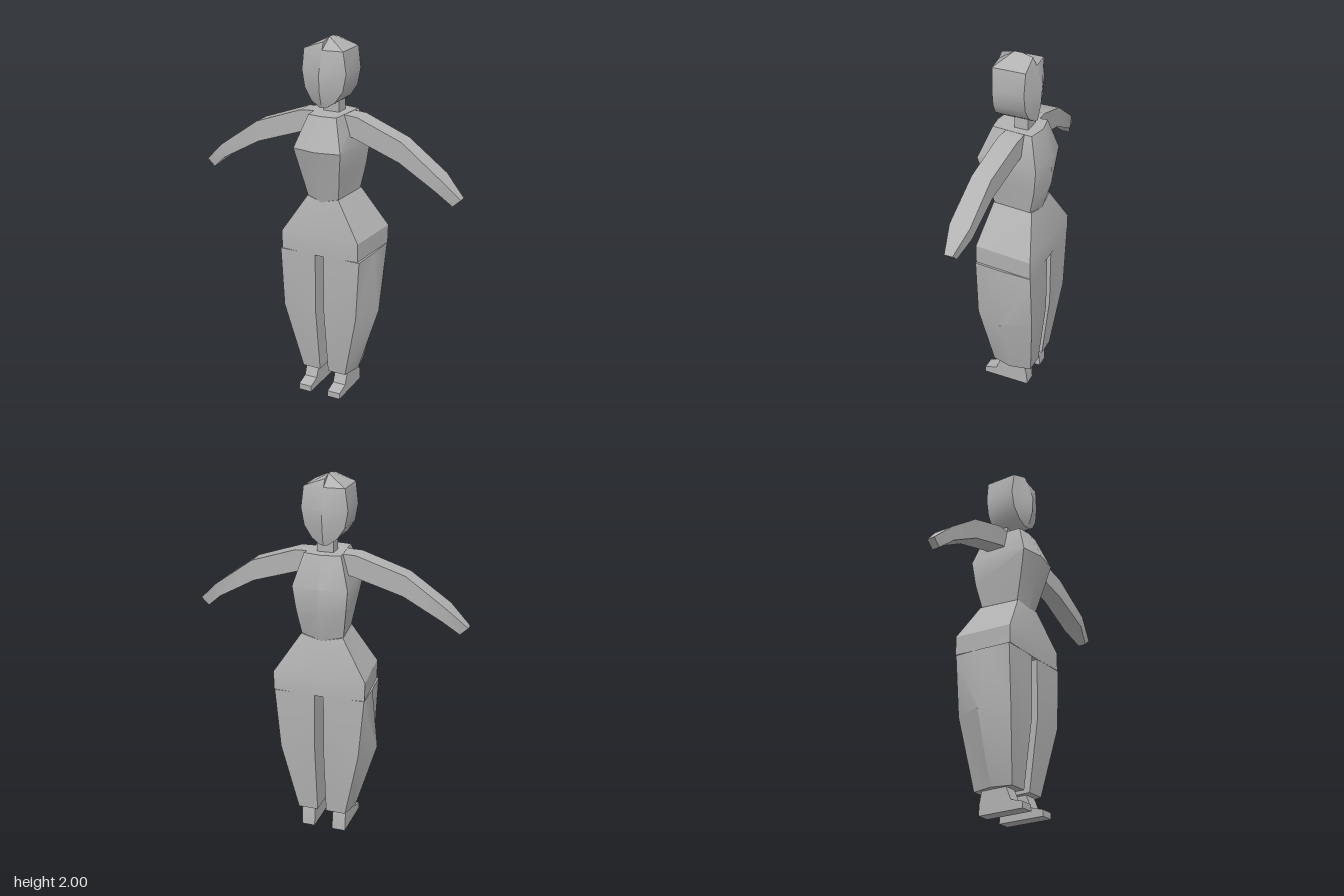
import * as THREE from 'three';
import { toCreasedNormals } from 'three/addons/utils/BufferGeometryUtils.js';

// Skin a stack of rings (arrays of [x, y, z]) and cap both ends.
function loft(rings) {
  const tris = [];
  const v = (p) => new THREE.Vector3(...p);
  const add = (a, b, c) => {
    const area = v(b).sub(v(a)).cross(v(c).sub(v(a))).length();
    if (area > 1e-7) tris.push([a, b, c]);
  };
  const n = rings[0].length;
  for (let r = 0; r < rings.length - 1; r++) {
    for (let i = 0; i < n; i++) {
      const j = (i + 1) % n, lo = rings[r], hi = rings[r + 1];
      add(lo[i], lo[j], hi[j]);
      add(lo[i], hi[j], hi[i]);
    }
  }
  const last = rings[rings.length - 1];
  for (let i = 1; i < n - 1; i++) {
    add(rings[0][0], rings[0][i + 1], rings[0][i]);
    add(last[0], last[i], last[i + 1]);
  }
  // Turn the faces outward whatever the ring direction
  let volume = 0;
  for (const [a, b, c] of tris) volume += v(a).dot(v(b).cross(v(c)));
  if (volume < 0) tris.forEach((t) => t.reverse());
  const g = new THREE.BufferGeometry();
  g.setAttribute('position', new THREE.Float32BufferAttribute(tris.flat(2), 3));
  return toCreasedNormals(g, 0.5);
}

// Complete a half ring (front centre to back centre) by mirroring it
function whole(half) {
  const mirrored = half.slice(1, -1).reverse().map(([x, y, z]) => [-x, y, z]);
  return [...half, ...mirrored];
}

export function createModel() {
  const model = new THREE.Group();
  const grey = new THREE.MeshStandardMaterial({ color: 0xb2b2b2 });
  grey.name = 'plain grey';
  const part = (name, geometry) => {
    const mesh = new THREE.Mesh(geometry, grey);
    mesh.name = name;
    model.add(mesh);
    return mesh;
  };

  // Head: y, half width, front centre z, front side z, back side z, back centre z
  const headRings = [
    [1.648, 0.02, 0.105, 0.1, -0.1, -0.108],
    [1.68, 0.068, 0.12, 0.095, -0.09, -0.115],
    [1.74, 0.108, 0.138, 0.088, -0.088, -0.125],
    [1.83, 0.125, 0.143, 0.085, -0.088, -0.132],
    [1.945, 0.11, 0.105, 0.09, -0.09, -0.1],
  ].map(([y, w, fc, fs, bs, bc]) => whole([[0, y, fc], [w, y, fs], [w, y, bs], [0, y, bc]]));
  headRings.push(whole([[0, 1.985, 0.09], [0, 2, 0.02], [0, 2, -0.02], [0, 1.985, -0.08]]));
  part('head', loft(headRings));

  // Neck
  const neck = part('neck', new THREE.BoxGeometry(0.09, 0.12, 0.075));
  neck.position.set(0, 1.635, -0.038);

  // Torso
  part('torso', loft([
    whole([[0, 1.135, 0.115], [0.09, 1.16, 0.095], [0.115, 1.165, -0.12], [0, 1.135, -0.14]]),
    whole([[0, 1.3, 0.155], [0.112, 1.3, 0.135], [0.135, 1.3, -0.15], [0, 1.3, -0.19]]),
    whole([[0, 1.435, 0.195], [0.135, 1.435, 0.17], [0.15, 1.435, -0.165], [0, 1.435, -0.19]]),
    whole([[0, 1.605, 0.115], [0.08, 1.605, 0.105], [0.1, 1.605, -0.12], [0, 1.605, -0.14]]),
  ]));

  // Hips
  part('hips', loft([
    whole([[0, 0.842, 0.145], [0.225, 0.848, 0.143], [0.252, 0.848, -0.185], [0, 0.842, -0.187]]),
    whole([[0, 0.95, 0.145], [0.225, 0.95, 0.143], [0.255, 0.95, -0.185], [0, 0.95, -0.187]]),
    whole([[0, 1.14, 0.115], [0.09, 1.16, 0.1], [0.115, 1.165, -0.13], [0, 1.14, -0.14]]),
  ]));

  for (const [side, s] of [['left', 1], ['right', -1]]) {
    // Leg: y, front z, back z, outer x at front, side and back
    part(side + 'Leg', loft([
      [0.125, 0.09, -0.14, 0.13, 0.16, 0.135],
      [0.51, 0.142, -0.182, 0.217, 0.28, 0.22],
      [0.845, 0.143, -0.184, 0.234, 0.247, 0.25],
    ].map(([y, zf, zb, xf, xs, xb]) => [
      [0.025, y, zf], [xf, y, zf], [xs, y, -0.02], [xb, y, zb], [0.025, y, zb],
    ].map(([x, h, z]) => [s * x, h, z]))));

    // Arm: top x and y, bottom x and y, front z, back z
    part(side + 'Arm', loft([
      [0.07, 1.605, 0.07, 1.5, 0.025, -0.08],
      [0.165, 1.6, 0.145, 1.488, 0.035, -0.075],
      [0.42, 1.51, 0.41, 1.4, 0.055, -0.05],
      [0.635, 1.355, 0.615, 1.285, 0.07, -0.04],
      [0.745, 1.25, 0.702, 1.21, 0.045, 0],
    ].map(([tx, ty, bx, by, zf, zb]) => [
      [s * tx, ty, zf], [s * tx, ty, zb], [s * bx, by, zb], [s * bx, by, zf],
    ])));

    // Foot: side profile as [z, y], extended across the width
    const profile = [[-0.115, 0], [0.15, 0], [0.15, 0.035], [0.08, 0.055],
      [0.045, 0.14], [-0.095, 0.14], [-0.112, 0.06]];
    part(side + 'Foot', loft([0.052, 0.127].map((x) => profile.map(([z, y]) => [s * x, y, z]))));
  }
  return model;
}
